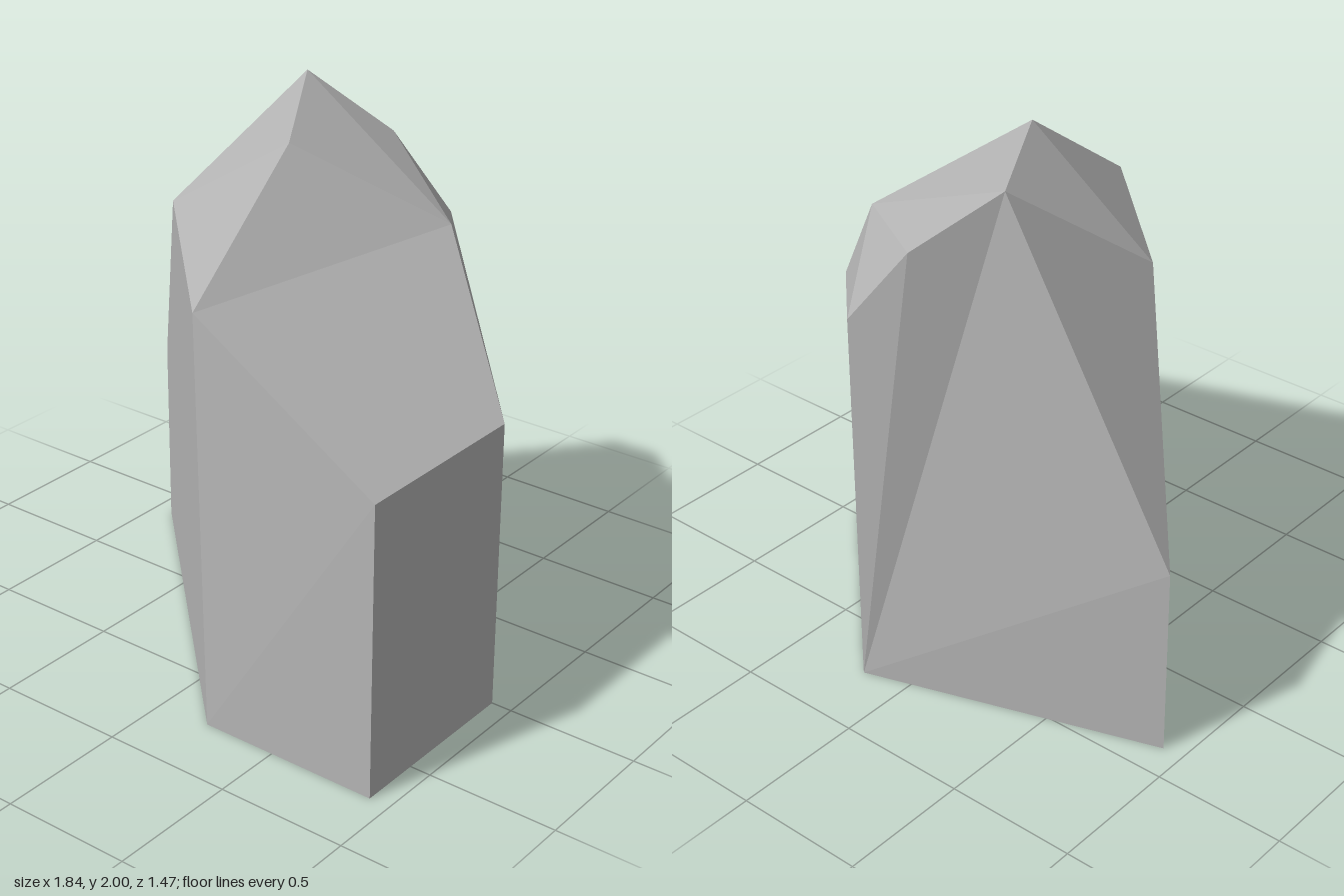
import * as THREE from 'three';

// Corners of the faceted rock
const corners = {
  // footprint
  a: [-0.92, 0, -0.37], b: [0.21, 0, 0.735], c: [0.92, 0, 0.735], d: [0.92, 0, 0], e: [0.18, 0, -0.735],
  // shoulder ring above the footprint
  A: [-0.92, 0.74, -0.37], B: [0.14, 1.54, 0.69], C: [0.92, 1.11, 0.735], D: [0.92, 1.11, 0], E: [0.18, 1.48, -0.735],
  // crown
  P: [-0.29, 2, -0.47], Q: [0.075, 1.95, 0.1], R: [0.49, 1.64, -0.28], S: [-0.035, 1.77, -0.66], T: [-0.49, 1.6, 0.06],
};

// Each facet is fanned from its first corner
const facets = [
  'abcde', // underside
  'abBTA', // broad front slope
  'bcC', 'bCB', // front right
  'cdDC', 'deED', // right sides
  'eaA', 'eAP', 'ePS', 'eSE', // back
  'APT', 'TBQ', 'TQP', // left crown
  'BCD', 'BDRQ', // right crown
  'DER', 'ERS', // back right crown
  'RSP', 'RPQ', // top
];

function facetedGeometry(centre) {
  const positions = [];
  const v = (key) => new THREE.Vector3(...corners[key]);
  for (const f of facets) {
    for (let i = 1; i < f.length - 1; i++) {
      const [p, q, r] = [v(f[0]), v(f[i]), v(f[i + 1])];
      const normal = q.clone().sub(p).cross(r.clone().sub(p));
      // turn every facet outward
      const outward = normal.dot(p.clone().sub(centre)) > 0;
      for (const k of outward ? [p, q, r] : [p, r, q]) positions.push(k.x, k.y, k.z);
    }
  }
  const geometry = new THREE.BufferGeometry();
  geometry.setAttribute('position', new THREE.Float32BufferAttribute(positions, 3));
  geometry.computeVertexNormals();
  return geometry;
}

export function createModel() {
  const group = new THREE.Group();
  group.name = 'rock';
  const stone = new THREE.MeshStandardMaterial({ color: 0xb4b4b4 });
  stone.name = 'grey stone';
  const boulder = new THREE.Mesh(facetedGeometry(new THREE.Vector3(0.1, 0.8, 0)), stone);
  boulder.name = 'boulder';
  group.add(boulder);
  return group;
}
